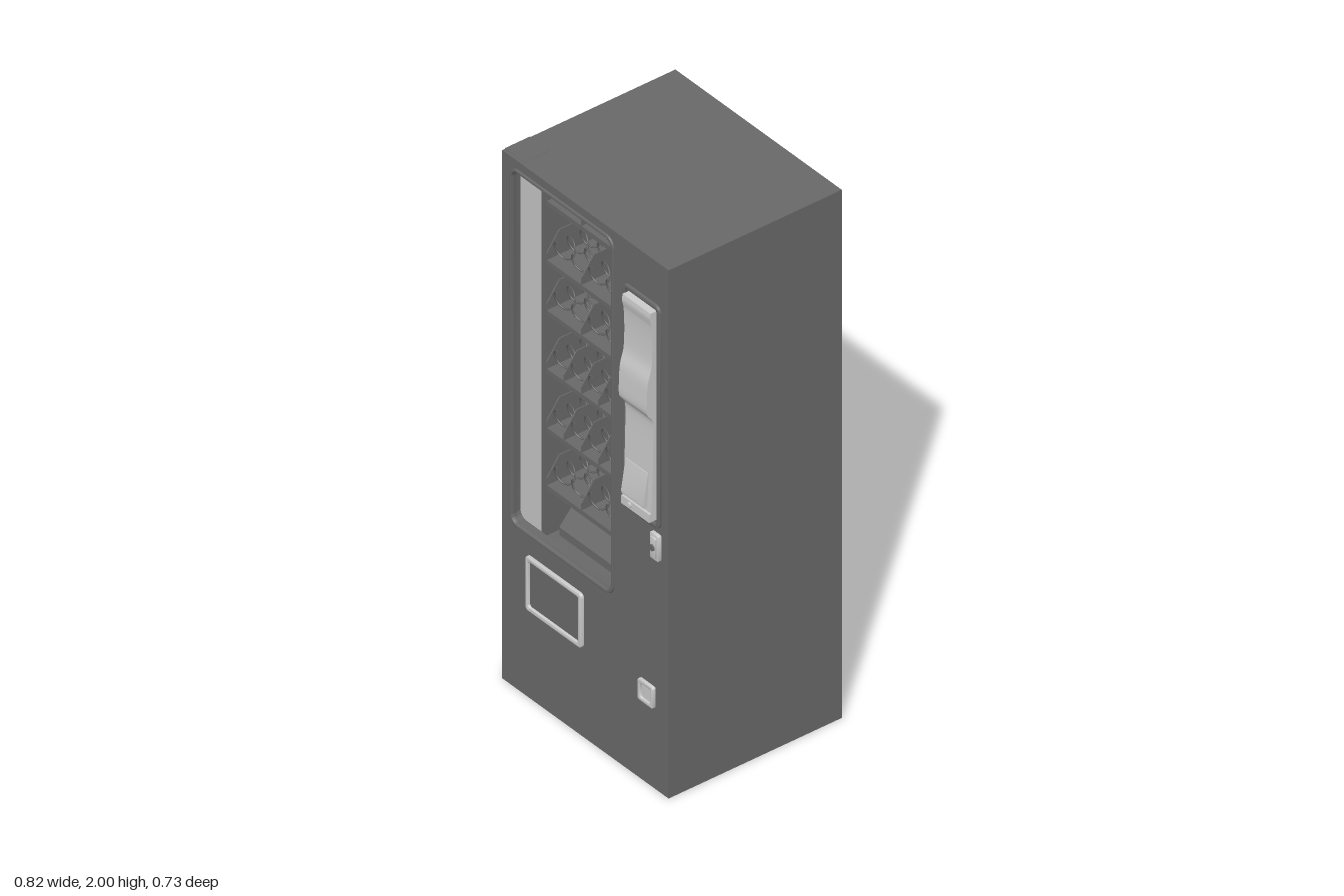
import * as THREE from 'three';
import { toCreasedNormals } from 'three/addons/utils/BufferGeometryUtils.js';

const dark = new THREE.MeshStandardMaterial({ color: 0x696969 });
const light = new THREE.MeshStandardMaterial({ color: 0xcccccc });

// Rounded rectangle outline between two corners
function outline(x0, y0, x1, y1, r, T = THREE.Shape) {
  const s = new T();
  s.moveTo(x0 + r, y0);
  s.lineTo(x1 - r, y0);
  if (r) s.absarc(x1 - r, y0 + r, r, -Math.PI / 2, 0);
  s.lineTo(x1, y1 - r);
  if (r) s.absarc(x1 - r, y1 - r, r, 0, Math.PI / 2);
  s.lineTo(x0 + r, y1);
  if (r) s.absarc(x0 + r, y1 - r, r, Math.PI / 2, Math.PI);
  s.lineTo(x0, y0 + r);
  if (r) s.absarc(x0 + r, y0 + r, r, Math.PI, Math.PI * 1.5);
  return s;
}

export function createModel() {
  const model = new THREE.Group();
  model.name = 'vendingMachine';

  function add(name, geometry, material = dark, parent = model) {
    const mesh = new THREE.Mesh(geometry, material);
    mesh.name = name;
    parent.add(mesh);
    return mesh;
  }
  function box(name, x0, x1, y0, y1, z0, z1, material, parent) {
    const g = new THREE.BoxGeometry(x1 - x0, y1 - y0, z1 - z0);
    g.translate((x0 + x1) / 2, (y0 + y1) / 2, (z0 + z1) / 2);
    return add(name, g, material, parent);
  }
  // Plate in the xy plane from z0 to z1, with optional bevel
  function plate(name, shape, z0, z1, material, bevel = 0) {
    const g = new THREE.ExtrudeGeometry(shape, {
      depth: z1 - z0 - bevel, bevelEnabled: bevel > 0, bevelSize: bevel, bevelOffset: -bevel,
      bevelThickness: bevel, bevelSegments: 2, curveSegments: 8,
    });
    g.translate(0, 0, z0);
    return add(name, toCreasedNormals(g, 0.6), material);
  }
  // Outline of (z, y) points extruded from x0 to x1
  function sideProfile(points, x0, x1) {
    const shape = new THREE.Shape(points.map(([z, y]) => new THREE.Vector2(z, y)));
    const g = new THREE.ExtrudeGeometry(shape, { depth: x1 - x0, bevelEnabled: false });
    g.rotateY(-Math.PI / 2);
    g.translate(x1, 0, 0);
    return toCreasedNormals(g, 0.6);
  }
  function ring(name, x0, y0, x1, y1, r, width, z0, z1, material, bevel) {
    const s = outline(x0, y0, x1, y1, r);
    s.holes.push(outline(x0 + width, y0 + width, x1 - width, y1 - width, Math.max(r - width, 0.008), THREE.Path));
    return plate(name, s, z0, z1, material, bevel);
  }
  function knob(name, x, y, r, z0, z1, material) {
    const g = new THREE.CylinderGeometry(r, r, z1 - z0, 20);
    g.rotateX(Math.PI / 2);
    g.translate(x, y, (z0 + z1) / 2);
    return add(name, g, material);
  }

  // Hollow cabinet, back panel and door with window opening
  const cabinet = outline(-0.41, 0, 0.41, 2, 0);
  cabinet.holes.push(outline(-0.39, 0.48, 0.16, 1.98, 0, THREE.Path));
  plate('cabinet', cabinet, -0.34, 0.29);
  box('backPanel', -0.41, 0.41, 0, 2, -0.363, -0.34);
  const door = outline(-0.41, 0, 0.41, 2, 0);
  door.holes.push(outline(-0.36, 0.627, 0.133, 1.958, 0.03, THREE.Path));
  plate('door', door, 0.29, 0.322);
  ring('windowFrame', -0.37, 0.615, 0.143, 1.97, 0.04, 0.012, 0.31, 0.329, dark, 0.004);
  box('hingePlate', -0.412, -0.315, 1.985, 2.001, 0.21, 0.31);
  box('lampStrip', -0.389, -0.368, 0.52, 1.978, 0.2, 0.29, light);

  // Sloped floor that drops goods into the delivery bin
  add('deliveryRamp', sideProfile([[0.13, 0.48], [0.13, 0.51], [0.06, 0.59], [-0.34, 0.62], [-0.34, 0.48]], -0.368, 0.16));

  // Shelves with dividers and spiral coils
  const left = -0.368, cell = 0.0852, front = 0.18, back = -0.34;
  class Helix extends THREE.Curve {
    getPoint(t, target = new THREE.Vector3()) {
      const a = Math.PI / 2 + t * Math.PI * 2 * 9;
      return target.set(Math.cos(a) * 0.034, Math.sin(a) * 0.034, front - 0.012 - t * 0.46);
    }
  }
  const coil = new THREE.TubeGeometry(new Helix(), 162, 0.003, 4);
  const rows = [
    { y: 1.814, every: 2 }, { y: 1.59, every: 2 }, { y: 1.4, every: 2 },
    { y: 1.178, every: 1 }, { y: 0.955, every: 1 }, { y: 0.737, every: 2 },
  ];
  rows.forEach(({ y, every }) => {
    const shelf = new THREE.Group();
    shelf.name = 'shelf';
    model.add(shelf);
    const base = y - 0.045, top = y + 0.048;
    box('shelfTray', left, 0.145, base - 0.018, base, back, front, dark, shelf);
    const wall = [[back, base], [front, base], [front, base + 0.025], [front - 0.05, top], [back, top]];
    for (let i = 0; i <= 6; i += every) {
      const x = left + i * cell;
      add('shelfDivider', sideProfile(wall, x - 0.002, x + 0.002), dark, shelf);
    }
    for (let i = 0; i < 6; i++) {
      add('spiralCoil', coil, dark, shelf).position.set(left + (i + 0.5) * cell, y, 0);
    }
  });

  // Payment panel with wavy face on a dark surround
  ring('paymentSurround', 0.19, 0.995, 0.375, 1.84, 0.025, 0.016, 0.315, 0.331, dark, 0.003);
  const wave = new THREE.SplineCurve([
    [0.344, 1.024], [0.342, 1.1], [0.338, 1.23], [0.336, 1.385], [0.346, 1.415], [0.361, 1.44], [0.361, 1.5],
    [0.357, 1.555], [0.343, 1.61], [0.34, 1.69], [0.343, 1.76], [0.349, 1.79], [0.347, 1.814],
  ].map(([z, y]) => new THREE.Vector2(z, y)));
  const face = wave.getPoints(48).map((p) => [p.x, p.y]);
  add('paymentPanel', sideProfile([...face, [0.318, 1.814], [0.318, 1.024]], 0.214, 0.352), light);
  add('cardFlap', sideProfile([[0.33, 1.07], [0.358, 1.07], [0.359, 1.085], [0.341, 1.195], [0.33, 1.195]], 0.222, 0.332), light);
  box('panelLip', 0.214, 0.352, 1.024, 1.055, 0.33, 0.352, light);
  knob('panelButton', 0.256, 1.041, 0.009, 0.34, 0.359, light);

  // Door lock
  plate('lockPlate', outline(0.332, 0.878, 0.374, 0.976, 0.006), 0.315, 0.335, light, 0.003);
  plate('lockHandle', outline(0.34, 0.89, 0.366, 0.965, 0.005), 0.33, 0.34, light, 0.002);
  knob('lockCylinder', 0.353, 0.928, 0.011, 0.335, 0.346, dark);

  // Coin return cup
  ring('coinReturnFrame', 0.27, 0.306, 0.346, 0.386, 0.008, 0.013, 0.315, 0.334, light, 0.003);
  plate('coinReturnFlap', outline(0.28, 0.316, 0.336, 0.376, 0.012), 0.315, 0.326, light);

  // Delivery hatch
  ring('deliveryFrame', -0.284, 0.338, -0.007, 0.542, 0.014, 0.016, 0.315, 0.334, light, 0.004);
  plate('deliveryFlap', outline(-0.272, 0.35, -0.019, 0.53, 0.01), 0.315, 0.325);

  return model;
}
